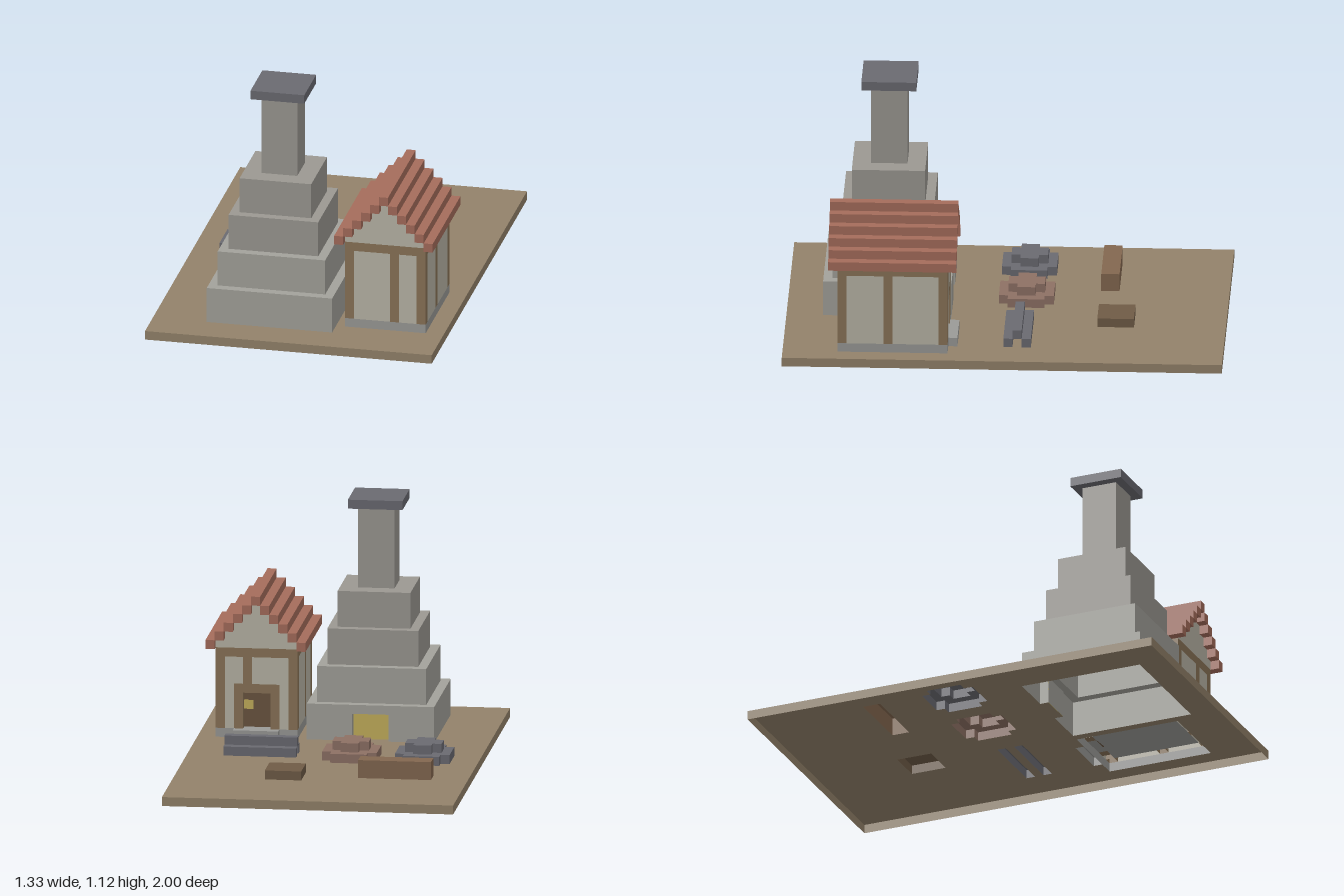
import * as THREE from 'three';

const U = 1 / 24; // one block of the build grid

const mat = (color) => new THREE.MeshStandardMaterial({ color, flatShading: true, side: THREE.DoubleSide });
const M = {
  ground: mat(0x93826a), stone: mat(0xa3a29b), stoneUpper: mat(0x9b9892), slate: mat(0x6a6a71),
  roof: mat(0xa56c5b), timber: mat(0x8a7357), plaster: mat(0xb9b5a7), footing: mat(0x9a9a97),
  clay: mat(0x8d7064), log: mat(0x83674f), crate: mat(0x6f5b46), fire: mat(0xc4b05c), door: mat(0x6b5540),
};

// Outlines are [x, z] corners in blocks
const rect = (x0, x1, z0, z1) => [[x0, z1], [x1, z1], [x1, z0], [x0, z0]];

// Rectangle with its four corner blocks cut away
function notched(x0, x1, z0, z1) {
  return [
    [x0 + 1, z1], [x1 - 1, z1], [x1 - 1, z1 - 1], [x1, z1 - 1], [x1, z0 + 1], [x1 - 1, z0 + 1],
    [x1 - 1, z0], [x0 + 1, z0], [x0 + 1, z0 + 1], [x0, z0 + 1], [x0, z1 - 1], [x0 + 1, z1 - 1],
  ];
}

// Horizontal face at height y, with optional holes
function flatGeometry(outline, y, holes = []) {
  const to2 = (pts) => pts.map(([x, z]) => new THREE.Vector2(x, -z));
  const shape = new THREE.Shape(to2(outline));
  shape.holes = holes.map((h) => new THREE.Path(to2(h)));
  return new THREE.ShapeGeometry(shape).rotateX(-Math.PI / 2).translate(0, y, 0);
}

function addMesh(parent, name, material, geometry) {
  const mesh = new THREE.Mesh(geometry, material);
  mesh.name = name;
  parent.add(mesh);
  return mesh;
}

function box(parent, name, material, x0, x1, y0, y1, z0, z1) {
  const g = new THREE.BoxGeometry(x1 - x0, y1 - y0, z1 - z0);
  g.translate((x0 + x1) / 2, (y0 + y1) / 2, (z0 + z1) / 2);
  return addMesh(parent, name, material, g);
}

// Hollow, open-bottomed block; holes = null leaves the top open too
function shell(parent, name, material, outline, y0, y1, holes = []) {
  const pos = [];
  outline.forEach(([ax, az], i) => {
    const [bx, bz] = outline[(i + 1) % outline.length];
    pos.push(ax, y0, az, bx, y0, bz, bx, y1, bz, ax, y0, az, bx, y1, bz, ax, y1, az);
  });
  if (holes) pos.push(...flatGeometry(outline, y1, holes).toNonIndexed().attributes.position.array);
  const g = new THREE.BufferGeometry();
  g.setAttribute('position', new THREE.Float32BufferAttribute(pos, 3));
  g.computeVertexNormals();
  return addMesh(parent, name, material, g);
}

function part(parent, name) {
  const g = new THREE.Group();
  g.name = name;
  parent.add(g);
  return g;
}

// Kiln footprint with the fire opening cut into its back edge
const kilnFoot = [[-10, 20], [4, 20], [4, 6], [-1, 6], [-1, 7], [-5, 7], [-5, 6], [-10, 6]];

function buildKiln(root) {
  const kiln = part(root, 'kiln');
  const tier = (i) => rect(-10 + i, 4 - i, 6 + i, 20 - i);
  shell(kiln, 'kilnBase', M.stone, kilnFoot, 1, 4, null);
  shell(kiln, 'kilnBaseTop', M.stone, tier(0), 4, 5, [tier(1)]);
  addMesh(kiln, 'openingCeiling', M.stone, flatGeometry(rect(-5, -1, 6, 7), 4));
  box(kiln, 'fire', M.fire, -5, -1, 1, 4, 6.95, 7);
  const flue = rect(-5, -1, 11, 15);
  for (let i = 1; i < 4; i++) {
    shell(kiln, 'kilnTier', i < 2 ? M.stone : M.stoneUpper, tier(i), 1 + 4 * i, 5 + 4 * i, [i < 3 ? tier(i + 1) : flue]);
  }
  shell(kiln, 'chimney', M.stoneUpper, flue, 17, 26, null);
  box(kiln, 'chimneyCap', M.slate, -6, 0, 26, 27, 10, 16);
}

function buildHouse(root) {
  const house = part(root, 'house');
  shell(house, 'footing', M.footing, rect(5, 14, 6, 18), 1, 2, null);
  shell(house, 'doorStep', M.footing, rect(7, 12, 5, 6), 1, 2);
  addMesh(house, 'floor', M.footing, flatGeometry(rect(6, 13, 7, 17), 2));
  addMesh(house, 'doorSill', M.footing, flatGeometry(rect(8, 11, 6, 7), 2));

  // Timber posts, plaster infill and top beam
  const upright = (name, m, x0, x1, z0, z1) => shell(house, name, m, rect(x0, x1, z0, z1), 2, 10, null);
  for (const x of [5, 13]) {
    for (const z of [6, 12, 17]) upright('post', M.timber, x, x + 1, z, z + 1);
    upright('sidePanel', M.plaster, x, x + 1, 7, 12);
    upright('sidePanel', M.plaster, x, x + 1, 13, 17);
  }
  upright('frontPost', M.timber, 10, 11, 17, 18);
  upright('frontPanel', M.plaster, 6, 10, 17, 18);
  upright('frontPanel', M.plaster, 11, 13, 17, 18);
  shell(house, 'topBeam', M.timber, rect(5, 14, 6, 18), 10, 11, null);

  // Back wall with the recessed door
  upright('backPanel', M.plaster, 6, 7, 6, 7);
  upright('backPanel', M.plaster, 12, 13, 6, 7);
  box(house, 'panelOverDoor', M.plaster, 7, 10, 7, 10, 6, 7);
  box(house, 'panelOverDoor', M.plaster, 11, 12, 7, 10, 6, 7);
  box(house, 'postOverDoor', M.timber, 10, 11, 7, 10, 6, 7);
  for (const x of [7, 11]) box(house, 'doorJamb', M.timber, x, x + 1, 2, 6, 6, 7);
  box(house, 'doorLintel', M.timber, 7, 12, 6, 7, 6, 7);
  box(house, 'door', M.door, 8, 11, 2, 6, 7, 7.3);
  box(house, 'doorLatch', M.fire, 10, 11, 4, 5, 6.95, 7);

  // Stepped gables and mirrored rows of roof tiles
  for (let i = 0; i < 5; i++) {
    for (const z of [6, 17]) box(house, 'gable', M.plaster, 5 + i, 14 - i, 11 + i, 12 + i, z, z + 1);
    for (const x of [4 + i, 14 - i]) box(house, 'roofRow', M.roof, x, x + 1, 11 + i, 12 + i, 5, 19);
  }
  box(house, 'roofRidge', M.roof, 9, 10, 16, 17, 5, 19);
}

export function createModel() {
  const root = new THREE.Group();
  root.name = 'kilnYard';
  const yard = part(root, 'yard');

  // Heaps, stacked bars, log and crate in the yard
  const heaps = [[-13, M.slate, 'slateHeap'], [-5, M.clay, 'clayHeap']];
  for (const [x, m, name] of heaps) {
    const upper = notched(x + 1, x + 5, -4, 0);
    shell(yard, name, m, notched(x, x + 6, -5, 1), 1, 2, [upper]);
    shell(yard, name + 'Top', m, upper, 2, 3);
  }
  const bars = [rect(4, 12, -3, -2), rect(4, 12, -1, 0)];
  bars.forEach((b) => shell(yard, 'lowerBar', M.slate, b, 1, 2));
  box(yard, 'upperBar', M.slate, 4, 12, 2, 3, -2, -1);
  const log = rect(-12, -4, -12, -10);
  const crate = rect(2, 6, -14, -10);
  shell(yard, 'log', M.log, log, 1, 3);
  shell(yard, 'crate', M.crate, crate, 1, 2);

  // Ground slab, open below and under everything standing on it
  const houseFoot = [[5, 18], [14, 18], [14, 6], [12, 6], [12, 5], [7, 5], [7, 6], [5, 6]];
  const heapFeet = heaps.map(([x]) => notched(x, x + 6, -5, 1));
  shell(root, 'ground', M.ground, rect(-16, 16, -24, 24), 0, 1, [kilnFoot, houseFoot, log, crate, ...bars, ...heapFeet]);

  buildKiln(root);
  buildHouse(root);
  root.scale.setScalar(U);
  return root;
}
